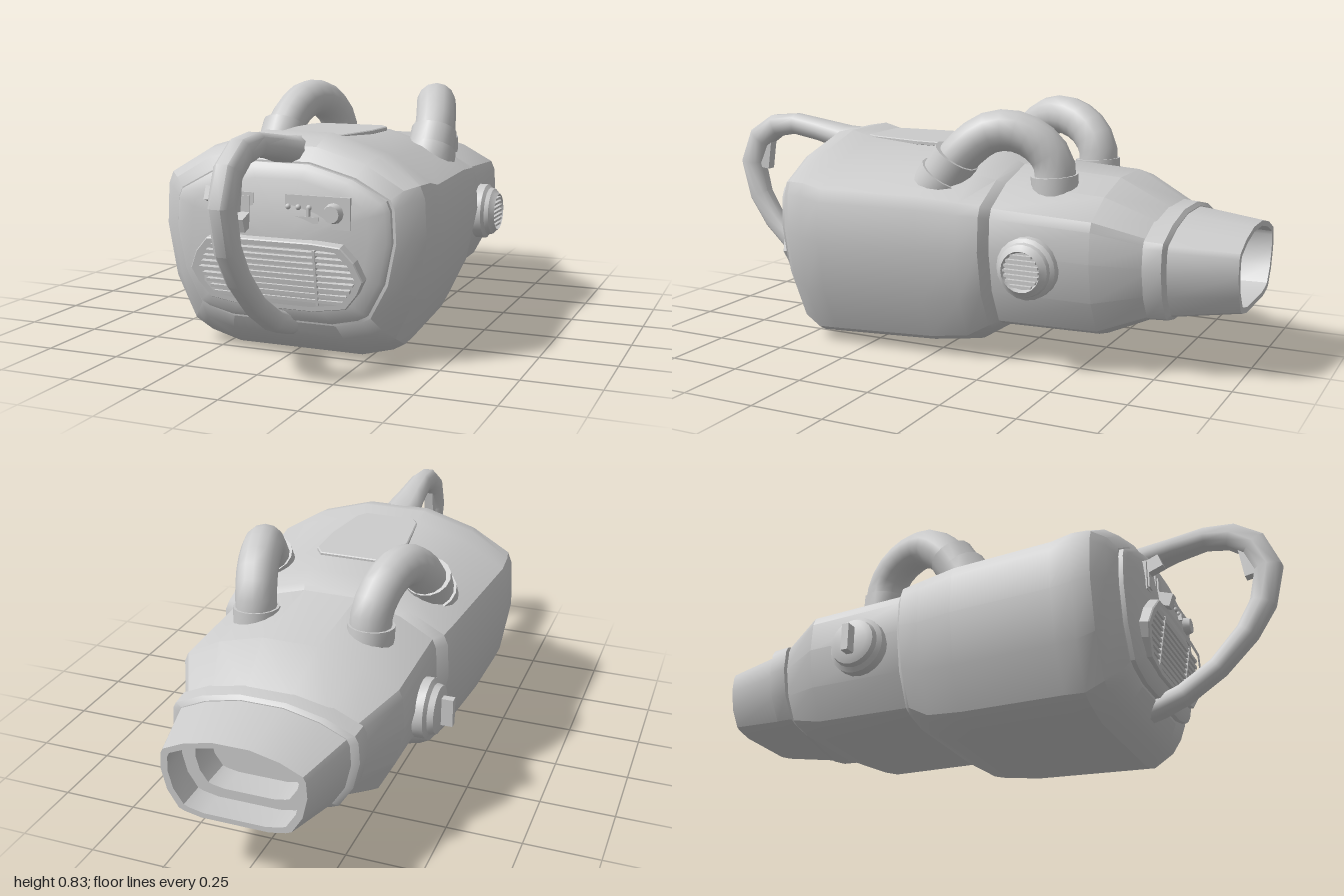
import * as THREE from 'three';
import { toCreasedNormals } from 'three/addons/utils/BufferGeometryUtils.js';

const grey = new THREE.MeshStandardMaterial({ color: 0xcccccc });

function add(parent, name, geo, x = 0, y = 0, z = 0) {
  const mesh = new THREE.Mesh(geo, grey);
  mesh.name = name;
  mesh.position.set(x, y, z);
  parent.add(mesh);
  return mesh;
}

// Skin a row of closed rings of Vector3 and cap both ends
function loft(rings, crease = 0.5) {
  const n = rings[0].length, pos = [], idx = [];
  rings.forEach(r => r.forEach(p => pos.push(p.x, p.y, p.z)));
  for (let j = 0; j < rings.length - 1; j++) {
    for (let i = 0; i < n; i++) {
      const k = (i + 1) % n, a = j * n + i, b = j * n + k;
      idx.push(a, b, a + n, b, b + n, a + n);
    }
  }
  [0, rings.length - 1].forEach((j, end) => {
    const c = rings[j].reduce((s, p) => s.add(p), new THREE.Vector3()).divideScalar(n);
    const m = pos.length / 3;
    pos.push(c.x, c.y, c.z);
    for (let i = 0; i < n; i++) {
      const a = j * n + i, b = j * n + (i + 1) % n;
      if (end) idx.push(m, a, b); else idx.push(m, b, a);
    }
  });
  const g = new THREE.BufferGeometry();
  g.setAttribute('position', new THREE.Float32BufferAttribute(pos, 3));
  g.setIndex(idx);
  return toCreasedNormals(g, crease);
}

// Housing outline, right half from top to bottom, as fractions of width and height
const half = [[0.25, 1], [0.65, 0.92], [0.95, 0.8], [0.985, 0.74], [1, 0.54],
  [0.93, 0.28], [0.78, 0.07], [0.7, 0.04], [0.47, 0]];
const outline = [...half, ...half.map(([x, y]) => [-x, y]).reverse()];
const ring = ([z, w, y0, y1]) => outline.map(([x, y]) =>
  new THREE.Vector3(x * w, y0 + y * (y1 - y0), z));

const mirrored = pts => [...pts, ...pts.map(([x, y]) => [-x, y]).reverse()]
  .map(([x, y]) => new THREE.Vector2(x, y));

function createHandle() {
  // z, y, half width, half thickness
  const keys = [[0.42, 0.655, 0.07, 0.045], [0.53, 0.662, 0.068, 0.042], [0.64, 0.685, 0.052, 0.037],
    [0.75, 0.702, 0.042, 0.037], [0.84, 0.69, 0.04, 0.042], [0.915, 0.64, 0.04, 0.045],
    [0.955, 0.545, 0.038, 0.045], [0.925, 0.42, 0.036, 0.042], [0.865, 0.325, 0.035, 0.038],
    [0.76, 0.22, 0.035, 0.034], [0.64, 0.145, 0.038, 0.034], [0.56, 0.115, 0.046, 0.034], [0.5, 0.1, 0.046, 0.034]];
  const section = [[0.45, 1], [0.85, 0.65], [1, 0], [0.85, -0.65], [0.45, -1]];
  const loop = mirrored(section);
  return loft(keys.map(([z, y, w, t], i) => {
    const a = keys[Math.max(i - 1, 0)], b = keys[Math.min(i + 1, keys.length - 1)];
    const len = Math.hypot(b[0] - a[0], b[1] - a[1]);
    const tz = (b[0] - a[0]) / len, ty = (b[1] - a[1]) / len;
    return loop.map(p => new THREE.Vector3(p.x * w, y - p.y * t * tz, z + p.y * t * ty));
  }), 0.8);
}

function createPipe(side) {
  const pipe = new THREE.Group();
  pipe.name = side > 0 ? 'leftPipe' : 'rightPipe';
  const path = [[0.288, 0.56, 0], [0.287, 0.63, -0.045], [0.277, 0.705, -0.11], [0.257, 0.752, -0.175],
    [0.235, 0.76, -0.25], [0.215, 0.725, -0.33], [0.2, 0.66, -0.378], [0.197, 0.56, -0.385]]
    .map(([x, y, z]) => new THREE.Vector3(side * x, y, z));
  add(pipe, 'bentTube', new THREE.TubeGeometry(new THREE.CatmullRomCurve3(path), 14, 0.068, 14));
  // Sleeves where the tube meets the housing
  const sleeve = (name, a, b, r, h) => {
    const dir = b.clone().sub(a).normalize();
    const m = add(pipe, name, toCreasedNormals(new THREE.CylinderGeometry(r, r, h, 16), 0.6));
    m.quaternion.setFromUnitVectors(new THREE.Vector3(0, 1, 0), dir);
    m.position.copy(a).addScaledVector(dir, h / 2);
  };
  sleeve('frontSleeve', path[0], path[1], 0.079, 0.135);
  sleeve('frontRim', path[0], path[1], 0.088, 0.06);
  sleeve('rearSleeve', path[7], path[6], 0.077, 0.06);
  return pipe;
}

// Round fitting on the side of the neck, built facing +y and turned outwards
function createSideFitting(side) {
  const g = new THREE.Group();
  g.name = side > 0 ? 'sideVent' : 'sideKnob';
  const steps = side > 0
    ? [[0, 0], [0.1, 0], [0.1, 0.035], [0.088, 0.045], [0.084, 0.06], [0.072, 0.07], [0.066, 0.078], [0.06, 0.062], [0, 0.062]]
    : [[0, 0], [0.1, 0], [0.1, 0.035], [0.085, 0.045], [0.08, 0.065], [0.06, 0.072], [0, 0.072]];
  add(g, 'base', toCreasedNormals(new THREE.LatheGeometry(
    steps.map(([r, y]) => new THREE.Vector2(r, y)), 20), 0.5));
  if (side > 0) {
    for (let i = -3; i <= 3; i++) {
      const o = i * 0.016;
      add(g, 'ventSlat', new THREE.BoxGeometry(0.008, 0.02, 2 * Math.sqrt(0.0036 - o * o)), o, 0.066, 0);
    }
  } else {
    add(g, 'knobFin', new THREE.BoxGeometry(0.095, 0.045, 0.026), 0, 0.088, 0);
  }
  g.position.set(side * 0.365, 0.35, -0.37);
  g.rotation.z = -side * Math.PI / 2;
  return g;
}

function createSpeaker() {
  const g = new THREE.Group();
  g.name = 'speakerGrille';
  const edge = [[0.13, 0.112], [0.225, 0.105], [0.265, 0.06], [0.29, 0.002], [0.27, -0.04], [0.23, -0.09], [0.12, -0.108]];
  const frame = new THREE.Shape(mirrored(edge));
  frame.holes.push(new THREE.Path(mirrored(edge.map(([x, y]) => [x * 0.93, y * 0.87]))));
  add(g, 'grilleFrame', new THREE.ExtrudeGeometry(frame, {
    depth: 0.03, bevelEnabled: true, bevelSize: 0.003, bevelThickness: 0.004, bevelSegments: 1 }), 0, 0, -0.01);
  add(g, 'grilleBack', new THREE.ExtrudeGeometry(new THREE.Shape(mirrored(edge)), { depth: 0.012, bevelEnabled: false }), 0, 0, -0.012);
  for (let i = 0; i < 9; i++) {
    const y = -0.077 + i * 0.0195;
    const hw = y > 0 ? 0.268 - y * 0.5 : 0.268 + y * 0.62;
    add(g, 'grilleSlat', new THREE.BoxGeometry(hw * 2, 0.01, 0.018), 0, y, 0.008);
  }
  [-0.135, 0.135].forEach(x => add(g, 'grilleBar', new THREE.BoxGeometry(0.008, 0.18, 0.022), x, 0, 0.008));
  g.position.set(0, 0.285, 0.6);
  g.rotation.x = 0.17;
  return g;
}

function createControls() {
  const g = new THREE.Group();
  g.name = 'controls';
  const box = (name, w, h, d, x, y, z) => add(g, name, new THREE.BoxGeometry(w, h, d), x, y, z);
  // Two lever switches, one up and one down
  [[-0.206, 1], [-0.106, -1]].forEach(([x, s]) => {
    box('switchPlate', 0.056, 0.102, 0.012, x, 0.483, 0.6);
    box('switchSlot', 0.032, 0.08, 0.012, x, 0.483, 0.605);
    box('switchLever', 0.034, 0.045, 0.055, x, 0.483 + s * 0.04, 0.625).rotation.x = -s * 0.35;
  });
  // Indicator plate with dial
  box('indicatorPlate', 0.215, 0.1, 0.012, 0.138, 0.485, 0.6);
  box('displayStrip', 0.105, 0.02, 0.012, 0.09, 0.46, 0.604);
  [0.042, 0.076, 0.112].forEach(x => add(g, 'indicatorLight', new THREE.SphereGeometry(0.009, 10, 8), x, 0.498, 0.608));
  box('smallToggle', 0.008, 0.025, 0.02, 0.112, 0.484, 0.61);
  add(g, 'dial', toCreasedNormals(new THREE.CylinderGeometry(0.026, 0.034, 0.03, 12), 0.6), 0.192, 0.485, 0.615).rotation.x = Math.PI / 2;
  return g;
}

export function createModel() {
  const model = new THREE.Group();
  model.name = 'blowerUnit';

  // Housing with narrower neck: z, half width, bottom, top
  add(model, 'housing', loft([[0.555, 0.375, 0.12, 0.63], [0.53, 0.41, 0.075, 0.675], [0.49, 0.45, 0.035, 0.7],
    [0.43, 0.463, 0, 0.71], [0.36, 0.464, 0.005, 0.69], [0, 0.438, 0.02, 0.685], [-0.13, 0.42, 0.038, 0.665],
    [-0.205, 0.408, 0.085, 0.645], [-0.23, 0.375, 0.1, 0.63], [-0.57, 0.375, 0.11, 0.61], [-0.74, 0.285, 0.18, 0.52]].map(ring)));
  add(model, 'nozzleBand', loft([[-0.715, 0.285, 0.185, 0.515], [-0.72, 0.312, 0.172, 0.525],
    [-0.78, 0.308, 0.175, 0.52], [-0.79, 0.285, 0.185, 0.508]].map(ring)));
  // Hollow nozzle with an inner step
  add(model, 'nozzle', loft([[-0.76, 0.288, 0.183, 0.508], [-0.79, 0.284, 0.185, 0.505], [-1, 0.232, 0.215, 0.48],
    [-1, 0.21, 0.232, 0.463], [-0.9, 0.215, 0.228, 0.467], [-0.9, 0.17, 0.26, 0.435], [-0.8, 0.17, 0.26, 0.435]].map(ring)));
  add(model, 'frontPanel', loft([[0.615, 0.1, 0.34, 0.44], [0.595, 0.3, 0.18, 0.58], [0.58, 0.352, 0.142, 0.612],
    [0.57, 0.366, 0.13, 0.625], [0.54, 0.366, 0.13, 0.625]].map(ring)));

  // Hatch on top of the housing
  const hatch = new THREE.Shape(mirrored([[0.11, 0.03], [0.138, -0.01], [0.14, -0.15], [0.113, -0.34], [0.09, -0.375]]));
  const hatchMesh = add(model, 'topHatch', new THREE.ExtrudeGeometry(hatch, {
    depth: 0.01, bevelEnabled: true, bevelSize: 0.004, bevelThickness: 0.003, bevelSegments: 1 }), 0, 0.677, 0);
  hatchMesh.rotation.x = -Math.PI / 2 - 0.014;

  add(model, 'handle', createHandle());
  add(model, 'trigger', new THREE.BoxGeometry(0.035, 0.11, 0.04), 0, 0.58, 0.888).rotation.x = -0.15;

  [1, -1].forEach(side => model.add(createPipe(side), createSideFitting(side)));
  model.add(createSpeaker(), createControls());
  return model;
}
